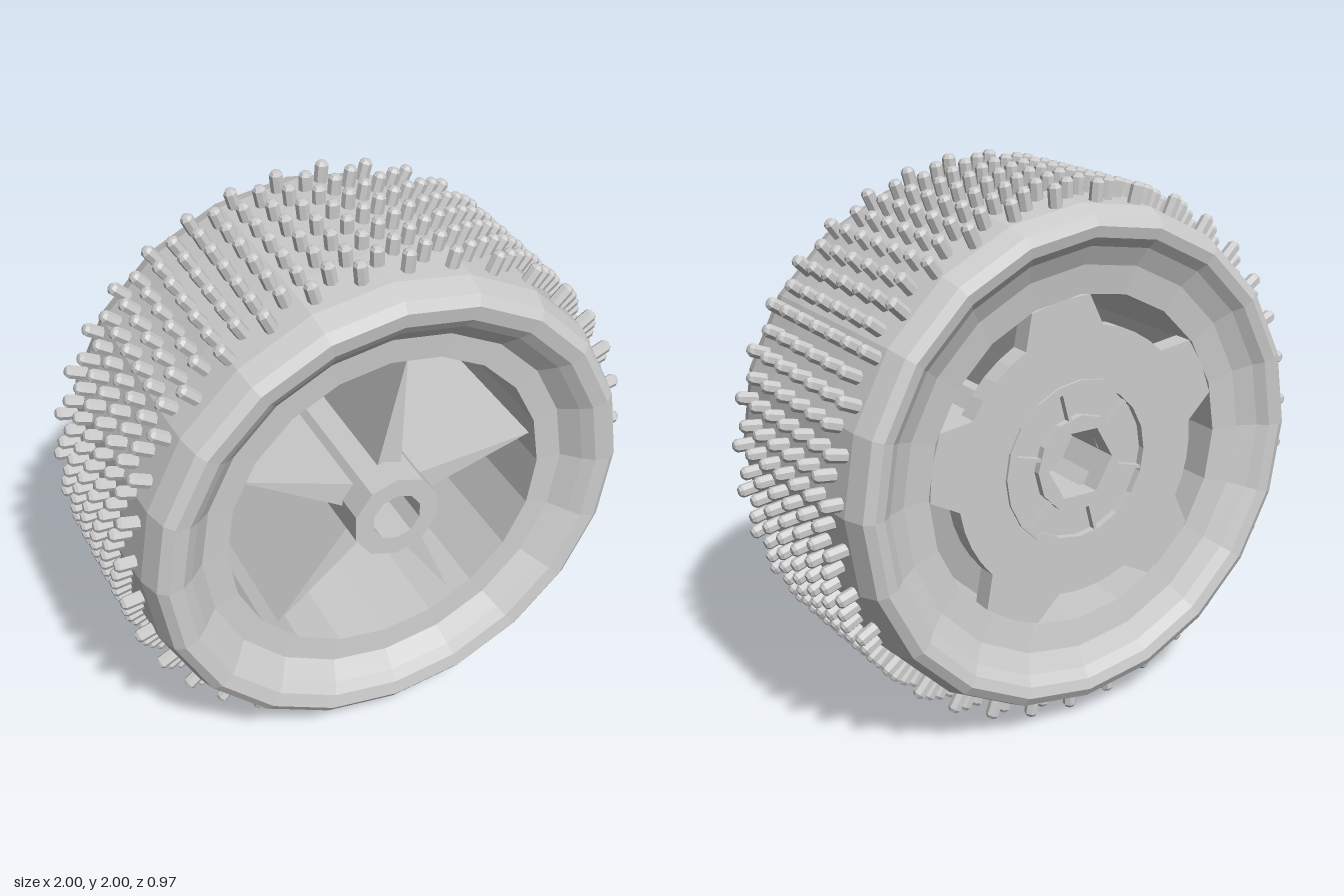
import * as THREE from 'three';

const material = new THREE.MeshStandardMaterial({
  color: 0xcccccc, flatShading: true, side: THREE.DoubleSide,
});

function addMesh(parent, name, geometry) {
  const mesh = new THREE.Mesh(geometry, material);
  mesh.name = name;
  parent.add(mesh);
  return mesh;
}

// Revolve [radius, z] points about the wheel axis
function revolve(points, sides) {
  return new THREE.LatheGeometry(points.map(([r, z]) => new THREE.Vector2(r, z)), sides)
    .rotateX(Math.PI / 2);
}

function polygon(radius, sides, PathType = THREE.Shape) {
  const pts = [];
  for (let i = 0; i < sides; i++) {
    const a = (i / sides) * Math.PI * 2;
    pts.push(new THREE.Vector2(Math.cos(a) * radius, Math.sin(a) * radius));
  }
  return new PathType(pts);
}

// Extrude a shape from z0 to z1 around a centred polygonal hole
function plate(shape, z0, z1, holeRadius = 0, holeSides = 6) {
  if (holeRadius) shape.holes.push(polygon(holeRadius, holeSides, THREE.Path));
  return new THREE.ExtrudeGeometry(shape, { depth: z1 - z0, bevelEnabled: false })
    .translate(0, 0, z0);
}

const SPOKES = 5;
const WHEEL_SIDES = 20;
const spokeAngle = (i) => THREE.MathUtils.degToRad(10 + 72 * i);

// Disc outline: round body with five arms reaching the rim
function starShape() {
  const pts = [];
  const put = (r, a) => pts.push(new THREE.Vector2(r * Math.cos(a), r * Math.sin(a)));
  for (let i = 0; i < SPOKES; i++) {
    const a = spokeAngle(i);
    put(0.5, a - 0.33);
    put(0.61, a - 0.2);
    put(0.61, a);
    put(0.61, a + 0.2);
    put(0.5, a + 0.33);
    for (let k = 1; k < 4; k++) put(0.5, a + 0.33 + (k / 4) * (Math.PI * 0.4 - 0.66));
  }
  return new THREE.Shape(pts);
}

export function createModel() {
  const model = new THREE.Group();
  model.name = 'wheel';
  const wheel = new THREE.Group();
  wheel.name = 'wheelAssembly';
  wheel.position.y = 1;
  model.add(wheel);

  // Tyre: sloping back wall, slightly crowned tread, broad rounded shoulders
  addMesh(wheel, 'tyre', revolve([
    [0.615, -0.395], [0.72, -0.41], [0.79, -0.445], [0.825, -0.475], [0.865, -0.485],
    [0.90, -0.465], [0.927, -0.39], [0.938, -0.2], [0.938, 0.2], [0.927, 0.38],
    [0.90, 0.46], [0.865, 0.485], [0.81, 0.475], [0.77, 0.445],
  ], WHEEL_SIDES));

  // Rim: steep dish, flat lip and straight barrel
  addMesh(wheel, 'rim', revolve([
    [0.77, 0.445], [0.71, 0.387], [0.615, 0.38], [0.615, -0.395],
  ], WHEEL_SIDES));

  // Tread pins: 13 staggered rows, 35 pins each
  const pinGeometry = new THREE.LatheGeometry([
    [0.025, 0.89], [0.025, 0.985], [0.016, 0.997], [0, 1],
  ].map(([r, y]) => new THREE.Vector2(r, y)), 7);
  const treadPins = new THREE.Group();
  treadPins.name = 'treadPins';
  wheel.add(treadPins);
  for (let row = 0; row < 13; row++) {
    const shift = row % 2 === 0 ? 0.5 : 0;
    for (let i = 0; i < 35; i++) {
      const pin = addMesh(treadPins, 'treadPin', pinGeometry);
      pin.position.z = 0.32 - row * 0.0563;
      pin.rotation.z = ((i + shift) / 35) * Math.PI * 2;
    }
  }

  // Back disc with five windows around its edge
  addMesh(wheel, 'disc', plate(starShape(), -0.395, -0.32, 0.28, 20));

  // Wedge-shaped webs from the hub to the rim
  for (let i = 0; i < SPOKES; i++) {
    const wedge = new THREE.Shape([
      new THREE.Vector2(0.12, -0.05), new THREE.Vector2(0.605, 0), new THREE.Vector2(0.12, 0.05),
    ]);
    addMesh(wheel, 'web', plate(wedge, -0.33, 0.34)).rotation.z = spokeAngle(i);
  }

  // Hub tube with a stepped bore
  addMesh(wheel, 'hub', revolve([
    [0.172, -0.33], [0.168, 0.45], [0.095, 0.45], [0.095, 0.0], [0.03, 0.0], [0.03, -0.15],
  ], 10));

  // Back of the hub: hexagonal socket, shallow groove, raised ring and thin ribs
  addMesh(wheel, 'socketFloor', plate(polygon(0.16, 10), -0.16, -0.15, 0.03, 10));
  addMesh(wheel, 'hexSocket', plate(polygon(0.18, 12), -0.405, -0.15, 0.138, 6));
  addMesh(wheel, 'grooveFloor', plate(polygon(0.285, 20), -0.378, -0.322, 0.15, 12));
  addMesh(wheel, 'raisedRing', plate(polygon(0.31, 20), -0.405, -0.385, 0.28, 20));
  for (let i = 0; i < 6; i++) {
    const rib = new THREE.BoxGeometry(0.12, 0.012, 0.04).translate(0.225, 0, -0.382);
    addMesh(wheel, 'grooveRib', rib).rotation.z = (i / 6) * Math.PI * 2 + 0.26;
  }

  return model;
}
